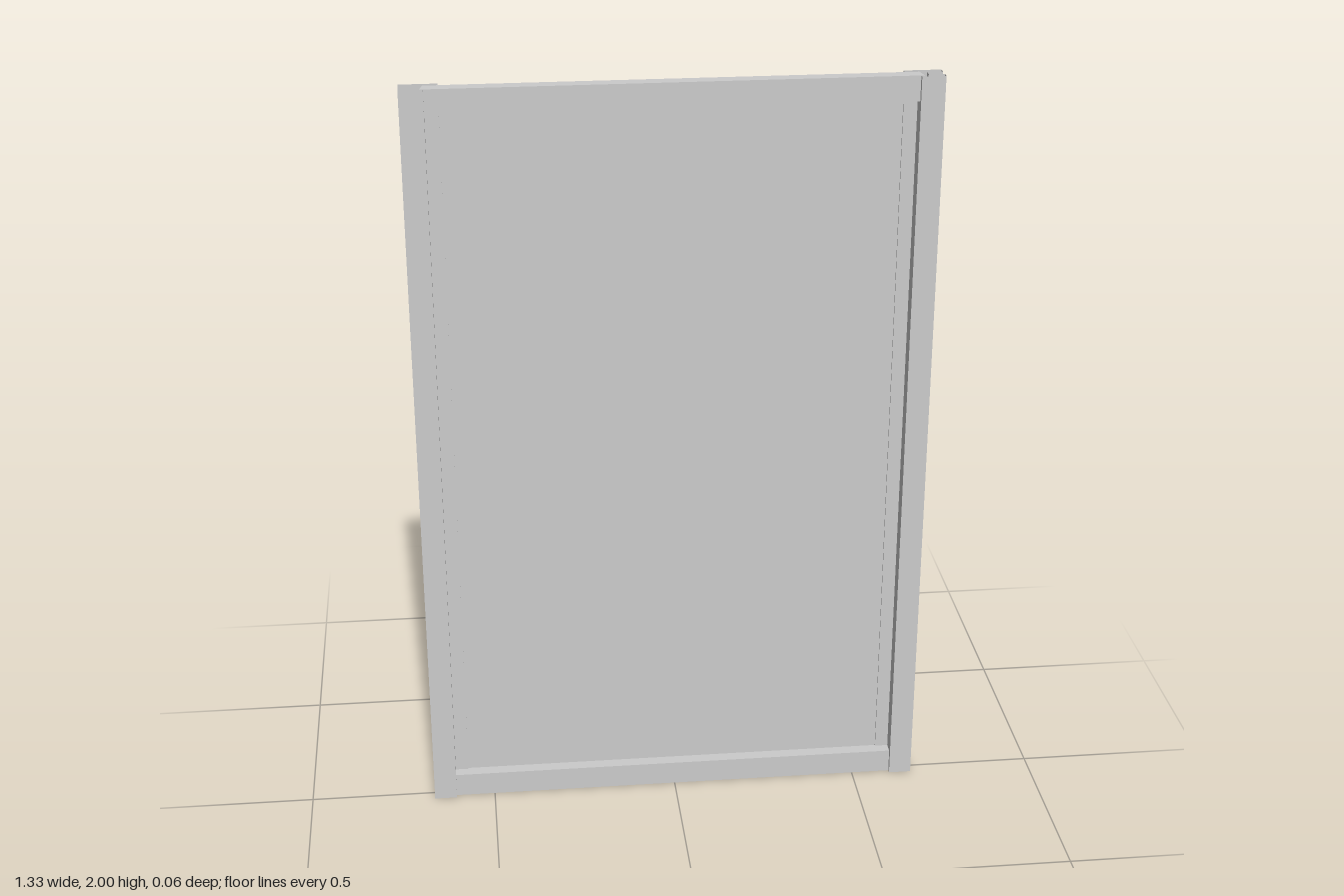
import * as THREE from 'three';

const material = new THREE.MeshStandardMaterial({ color: 0xcccccc, flatShading: true, side: THREE.DoubleSide });

// Open-ended vertical walls following a closed [x, z] outline
function sweepUp(outline, height) {
  const pos = [];
  outline.forEach(([x0, z0], i) => {
    const [x1, z1] = outline[(i + 1) % outline.length];
    pos.push(x0, 0, z0, x1, 0, z1, x1, height, z1);
    pos.push(x0, 0, z0, x1, height, z1, x0, height, z0);
  });
  const geo = new THREE.BufferGeometry();
  geo.setAttribute('position', new THREE.Float32BufferAttribute(pos, 3));
  geo.computeVertexNormals();
  return geo;
}

export function createModel() {
  const group = new THREE.Group();
  const add = (name, geo, x = 0, y = 0, z = 0) => {
    const mesh = new THREE.Mesh(geo, material);
    mesh.name = name;
    mesh.position.set(x, y, z);
    group.add(mesh);
    return mesh;
  };

  // Side stiles: hollow profile with a narrow front flange, a web and a wide back flange
  const profile = [
    [0.605, 0.03], [0.665, 0.03], [0.665, 0.01], [0.625, 0.01], [0.625, -0.01],
    [0.665, -0.01], [0.665, -0.03], [0.57, -0.03], [0.57, -0.01], [0.605, -0.01],
  ];
  const mirrored = profile.map(([x, z]) => [-x, z]);
  add('leftStile', sweepUp(profile, 2));
  add('rightStile', sweepUp(mirrored.reverse(), 2));

  // Top and bottom rails with slanted ends
  const section = new THREE.Shape([
    new THREE.Vector2(-0.614, -0.019), new THREE.Vector2(0.614, -0.019),
    new THREE.Vector2(0.607, 0.015), new THREE.Vector2(-0.607, 0.015),
  ]);
  const railGeo = new THREE.ExtrudeGeometry(section, { depth: 0.065, bevelEnabled: false });
  railGeo.rotateX(-Math.PI / 2);
  add('bottomRail', railGeo);
  add('topRail', railGeo, 0, 1.935);

  // Thin panel closing the back between the stiles
  add('panel', new THREE.BoxGeometry(1.14, 2, 0.002), 0, 1, -0.015);

  return group;
}
